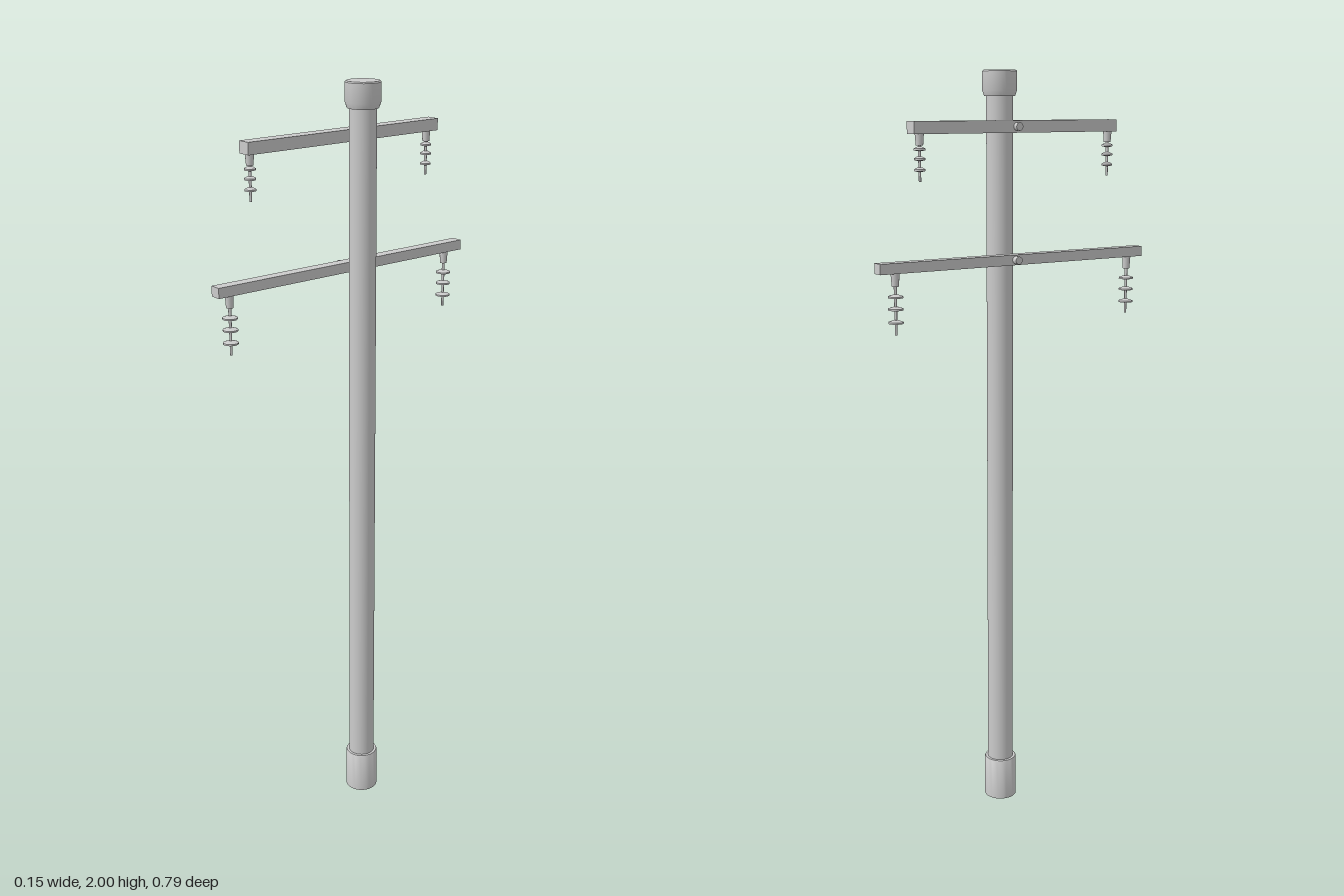
import * as THREE from 'three';
import { toCreasedNormals } from 'three/addons/utils/BufferGeometryUtils.js';

const material = new THREE.MeshStandardMaterial({ color: 0xcccccc });

function add(parent, name, geometry, x, y, z) {
  const mesh = new THREE.Mesh(geometry, material);
  mesh.name = name;
  mesh.position.set(x, y, z);
  parent.add(mesh);
  return mesh;
}

// Turned solid from [radius, height] pairs, listed bottom to top
function turned(profile, sides) {
  const points = profile.map(([r, y]) => new THREE.Vector2(r, y));
  return toCreasedNormals(new THREE.LatheGeometry(points, sides), 0.6);
}

// Insulator hanging from y = 0: holder, thin rod and three sheds
function createInsulator({ holder, length, shed, levels }) {
  const group = new THREE.Group();
  group.name = 'insulator';
  add(group, 'holder', new THREE.CylinderGeometry(0.011, 0.009, holder, 16), 0, -holder / 2, 0);
  add(group, 'rod', new THREE.CylinderGeometry(0.004, 0.003, length - holder, 12), 0, -(length + holder) / 2, 0);
  const profile = [[0, -0.005], [0.006, -0.005], [shed, -0.003], [shed, 0.001], [0.007, 0.005], [0, 0.006]];
  for (const level of levels) add(group, 'shed', turned(profile, 20), 0, -level, 0);
  return group;
}

// Crossarm with a bolt head on its outer side and an insulator near each end
function createCrossarm({ name, y, width, height, length, z, reach, insulator }) {
  const group = new THREE.Group();
  group.name = name;
  group.position.set(-0.044, y, z);
  add(group, 'beam', new THREE.BoxGeometry(width, height, length), 0, 0, 0);
  const bolt = add(group, 'bolt', new THREE.CylinderGeometry(0.01, 0.01, 0.02, 16), -0.021, 0, -0.008);
  bolt.rotation.z = Math.PI / 2;
  for (const side of [-1, 1]) {
    const hanger = createInsulator(insulator);
    hanger.position.set(0, -height / 2, side * reach + 0.004);
    group.add(hanger);
  }
  return group;
}

export function createModel() {
  const model = new THREE.Group();
  model.name = 'utilityPole';

  // Pole with its wider foot and cap
  const px = 0.028, pz = -0.004;
  add(model, 'shaft', new THREE.CylinderGeometry(0.034, 0.035, 1.86, 40, 1, true), px, 1.03, pz);
  add(model, 'foot', turned([[0, 0], [0.044, 0], [0.044, 0.113], [0.042, 0.117], [0.034, 0.117]], 40), px, 0, pz);
  add(model, 'cap', turned([[0.034, 1.936], [0.039, 1.936], [0.044, 1.95], [0.044, 1.997], [0.041, 2], [0, 2]], 40), px, 0, pz);

  // Two crossarms, the lower one longer
  model.add(createCrossarm({
    name: 'upperCrossarm', y: 1.863, width: 0.036, height: 0.03, length: 0.598, z: -0.001, reach: 0.279,
    insulator: { holder: 0.027, length: 0.113, shed: 0.014, levels: [0.035, 0.058, 0.084] },
  }));
  model.add(createCrossarm({
    name: 'lowerCrossarm', y: 1.533, width: 0.03, height: 0.026, length: 0.79, z: -0.002, reach: 0.351,
    insulator: { holder: 0.032, length: 0.152, shed: 0.019, levels: [0.057, 0.087, 0.12] },
  }));
  return model;
}
